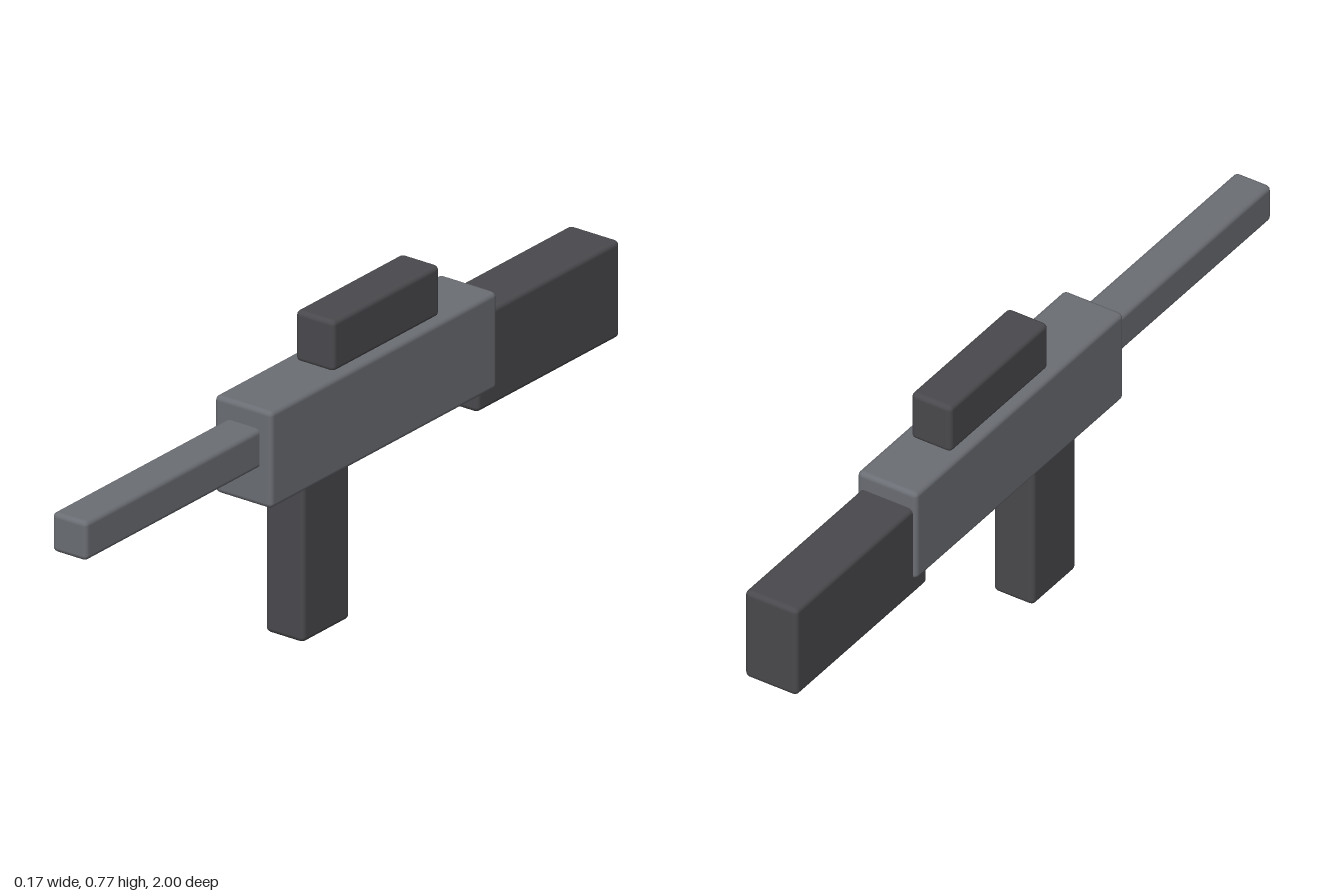
import * as THREE from 'three';
import { RoundedBoxGeometry } from 'three/addons/geometries/RoundedBoxGeometry.js';

export function createModel() {
  const group = new THREE.Group();
  const gunmetal = new THREE.MeshStandardMaterial({ color: 0x6b6e74 });
  gunmetal.name = 'gunmetal grey';
  const charcoal = new THREE.MeshStandardMaterial({ color: 0x4a494d });
  charcoal.name = 'charcoal';

  // Soft-edged block, centred on x, given by its half width and its y and z ranges
  function block(name, material, halfWidth, [y0, y1], [z0, z1]) {
    const geometry = new RoundedBoxGeometry(halfWidth * 2, y1 - y0, z1 - z0, 2, 0.013);
    const mesh = new THREE.Mesh(geometry, material);
    mesh.name = name;
    mesh.position.set(0, (y0 + y1) / 2, (z0 + z1) / 2);
    group.add(mesh);
  }

  block('receiver', gunmetal, 0.083, [0.402, 0.648], [-0.52, 0.34]);
  block('barrel', gunmetal, 0.05, [0.498, 0.598], [0.28, 1]);
  block('stock', charcoal, 0.073, [0.357, 0.603], [-1, -0.457]);
  block('grip', charcoal, 0.056, [0, 0.43], [0.003, 0.183]);
  block('topSight', charcoal, 0.056, [0.643, 0.773], [-0.338, 0.068]);

  return group;
}
